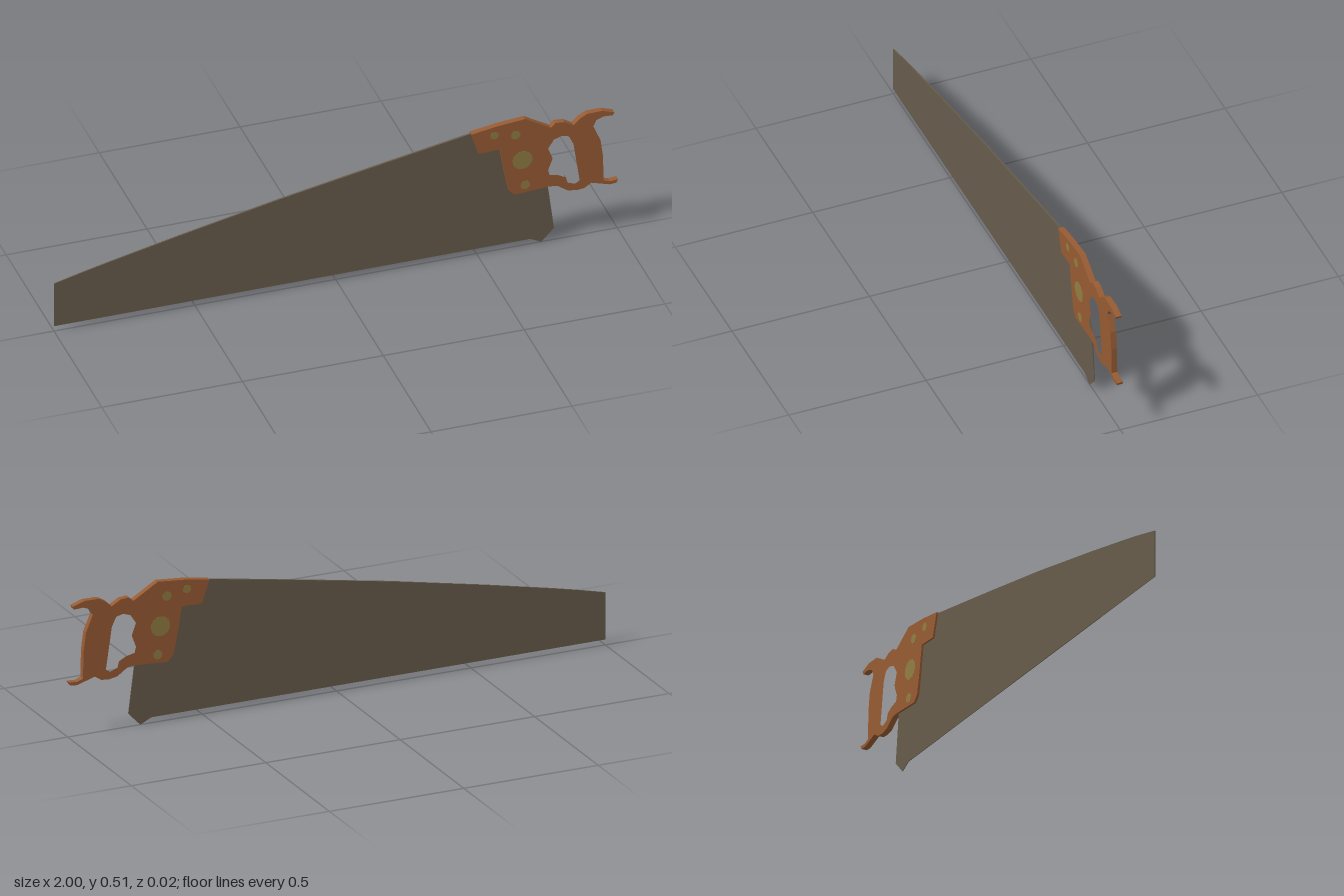
import * as THREE from 'three';

const material = (name, color) => {
  const m = new THREE.MeshStandardMaterial({ color });
  m.name = name;
  return m;
};
const toPoints = (list) => list.map(([x, y]) => new THREE.Vector2(x, y));

// Flat plate centred on z = 0, cut from an outline with optional holes
function plate(outline, depth, holes = []) {
  const shape = new THREE.Shape(toPoints(outline));
  holes.forEach((h) => shape.holes.push(new THREE.Path(toPoints(h))));
  const geo = new THREE.ExtrudeGeometry(shape, { depth, bevelEnabled: false });
  return geo.translate(0, 0, -depth / 2);
}

export function createModel() {
  const steel = material('dark steel', 0x665b4b);
  const wood = material('brown wood', 0x975b33);
  const brass = material('dull brass', 0x8f7d42);
  const grey = material('worn grey', 0x706560);

  const model = new THREE.Group();
  model.name = 'handSaw';
  const add = (name, geo, mat) => {
    const mesh = new THREE.Mesh(geo, mat);
    mesh.name = name;
    model.add(mesh);
    return mesh;
  };

  // Blade: thickest along the spine, tapering to the cutting edge
  const bladeGeo = plate([
    [-1, 0.02], [0.69, 0.02], [0.73, 0], [0.775, 0.047], [0.75, 0.24],
    [0.65, 0.45], [0.48, 0.485], [0.14, 0.425], [-0.2, 0.363],
    [-0.55, 0.292], [-0.8, 0.238], [-0.9, 0.215], [-1, 0.19],
  ], 2);
  const pos = bladeGeo.attributes.position;
  for (let i = 0; i < pos.count; i++) {
    pos.setZ(i, pos.getZ(i) * (0.001 + 0.006 * pos.getY(i)));
  }
  bladeGeo.computeVertexNormals();
  add('blade', bladeGeo, steel);

  // Handle: closed grip with horns at the top and bottom
  const outline = [
    [0.478, 0.486], [0.569, 0.5], [0.67, 0.509], [0.761, 0.455],
    [0.777, 0.471], [0.809, 0.468], [0.841, 0.449], [0.863, 0.47],
    [0.889, 0.484], [0.943, 0.485], [0.986, 0.471], [0.981, 0.46],
    [0.948, 0.462], [0.921, 0.452], [0.911, 0.431], [0.937, 0.37],
    [0.946, 0.305], [0.948, 0.206], [0.97, 0.198], [1, 0.2],
    [0.994, 0.188], [0.97, 0.186], [0.94, 0.195], [0.905, 0.206],
    [0.88, 0.19], [0.852, 0.187], [0.82, 0.193], [0.783, 0.219],
    [0.75, 0.222], [0.633, 0.214], [0.612, 0.235], [0.596, 0.31],
    [0.58, 0.406], [0.505, 0.403], [0.494, 0.438],
  ];
  const gripHole = [
    [0.772, 0.406], [0.8, 0.415], [0.825, 0.408], [0.841, 0.374],
    [0.863, 0.224], [0.847, 0.214], [0.82, 0.224], [0.814, 0.246],
    [0.788, 0.26], [0.756, 0.267], [0.751, 0.288], [0.767, 0.331],
    [0.751, 0.374],
  ];
  add('handle', plate(outline, 0.021, [gripHole]), wood);

  // Grey face in the crook under the top horn
  const crook = add('crookFace', new THREE.BoxGeometry(0.0012, 0.023, 0.021), grey);
  crook.position.set(0.9163, 0.4415, 0);
  crook.rotation.z = -Math.atan2(0.01, 0.021);

  // Brass rivets and medallion, showing on both sides
  [
    ['rivet', 0.561, 0.465, 0.015],
    ['rivet', 0.636, 0.452, 0.017],
    ['medallion', 0.66, 0.347, 0.036],
    ['rivet', 0.67, 0.246, 0.017],
  ].forEach(([name, x, y, r]) => {
    const geo = new THREE.CylinderGeometry(r, r, 0.022, 12).rotateX(Math.PI / 2);
    add(name, geo, brass).position.set(x, y, 0);
  });

  return model;
}
